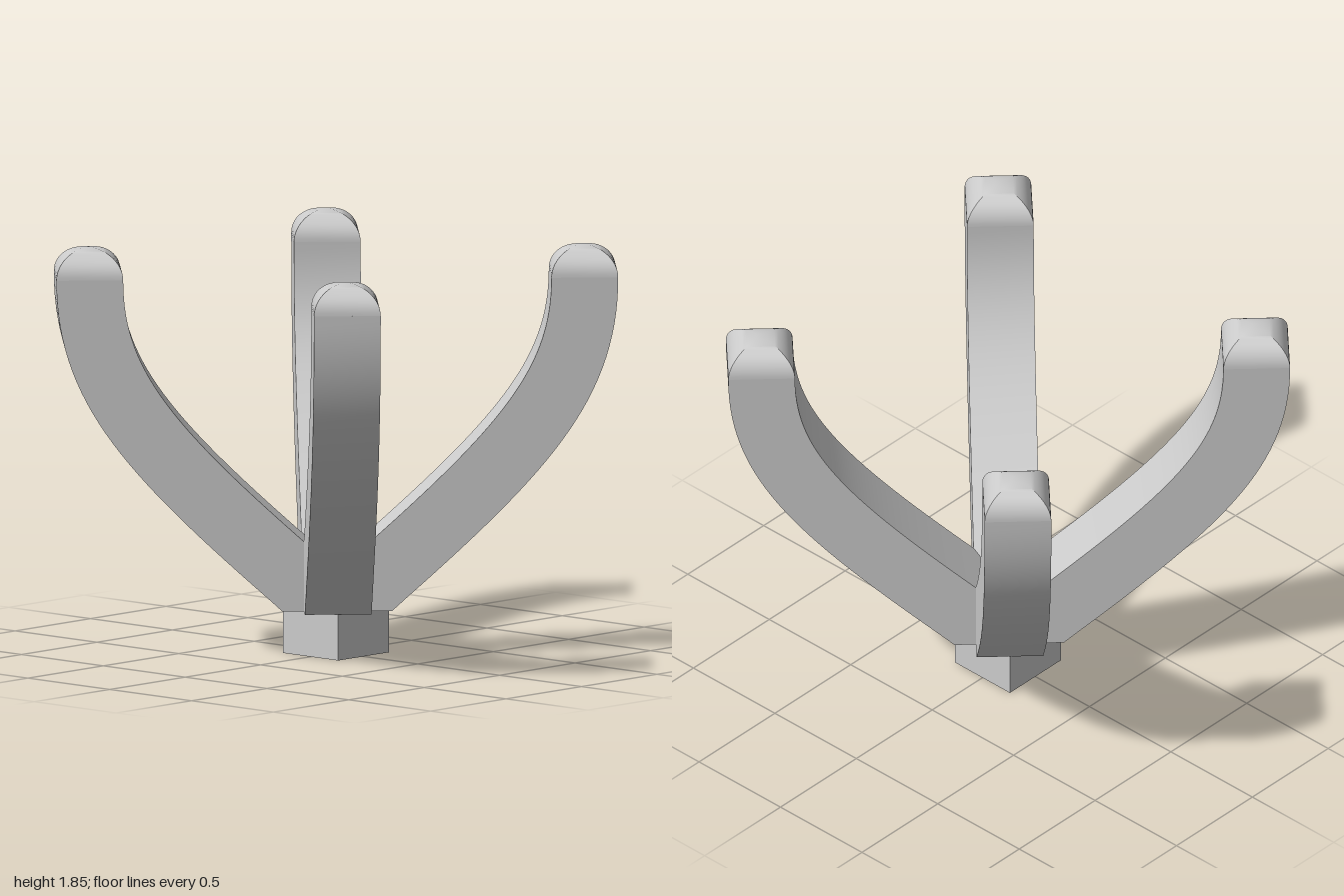
import * as THREE from 'three';
import { toCreasedNormals } from 'three/addons/utils/BufferGeometryUtils.js';

const W = 0.3;        // side of the square arm section
const BASE_Y = 0.21;  // flat underside of the arms
const TIP = new THREE.Vector2(1.113, 1.72);

// Side outline of one arm: a curve thickened to both sides, cut flat at the bottom
function armShape() {
  const path = new THREE.CubicBezierCurve(
    new THREE.Vector2(0, 0.195), new THREE.Vector2(0.8, 0.895),
    new THREE.Vector2(TIP.x, 1.2), TIP);
  const outer = [], inner = [];
  const steps = 32;
  for (let i = 0; i <= steps; i++) {
    const p = path.getPoint(i / steps), t = path.getTangent(i / steps);
    const n = new THREE.Vector2(t.y, -t.x).multiplyScalar(W / 2);
    const o = p.clone().add(n), q = p.clone().sub(n);
    if (o.y > BASE_Y + 0.01) outer.push(o);
    if (q.x > 0.01) inner.unshift(q);
  }
  return new THREE.Shape([
    new THREE.Vector2(0, BASE_Y), new THREE.Vector2(0.246, BASE_Y),
    ...outer, ...inner, new THREE.Vector2(0, 0.395)]);
}

// Four-sided dome that rounds off the arm end
function tipGeometry() {
  const profile = [], steps = 14;
  for (let i = 0; i <= steps; i++) {
    const a = (i / steps) * Math.PI / 2;
    profile.push(new THREE.Vector2(
      i === steps ? 0 : Math.cos(a) * W / Math.SQRT2, Math.sin(a) * 0.132));
  }
  const dome = new THREE.LatheGeometry(profile, 4, Math.PI / 4);
  return toCreasedNormals(dome, 0.6);
}

export function createModel() {
  const model = new THREE.Group();
  model.name = 'fourArmStand';
  const material = new THREE.MeshStandardMaterial({ color: 0xcccccc });

  // Square foot
  const foot = new THREE.Mesh(new THREE.BoxGeometry(0.336, 0.24, 0.336), material);
  foot.name = 'foot';
  foot.position.y = 0.12;
  model.add(foot);

  // Four curved arms along the diagonals
  const armGeo = new THREE.ExtrudeGeometry(armShape(), { depth: W, bevelEnabled: false });
  armGeo.translate(0, 0, -W / 2);
  const bodyGeo = toCreasedNormals(armGeo, 0.5);
  const tipGeo = tipGeometry();
  for (let k = 0; k < 4; k++) {
    const arm = new THREE.Group();
    arm.name = `arm${k + 1}`;
    const body = new THREE.Mesh(bodyGeo, material);
    body.name = 'armBody';
    const tip = new THREE.Mesh(tipGeo, material);
    tip.name = 'armTip';
    tip.position.set(TIP.x, TIP.y, 0);
    arm.add(body, tip);
    arm.rotation.y = Math.PI / 4 + k * Math.PI / 2;
    model.add(arm);
  }
  return model;
}
